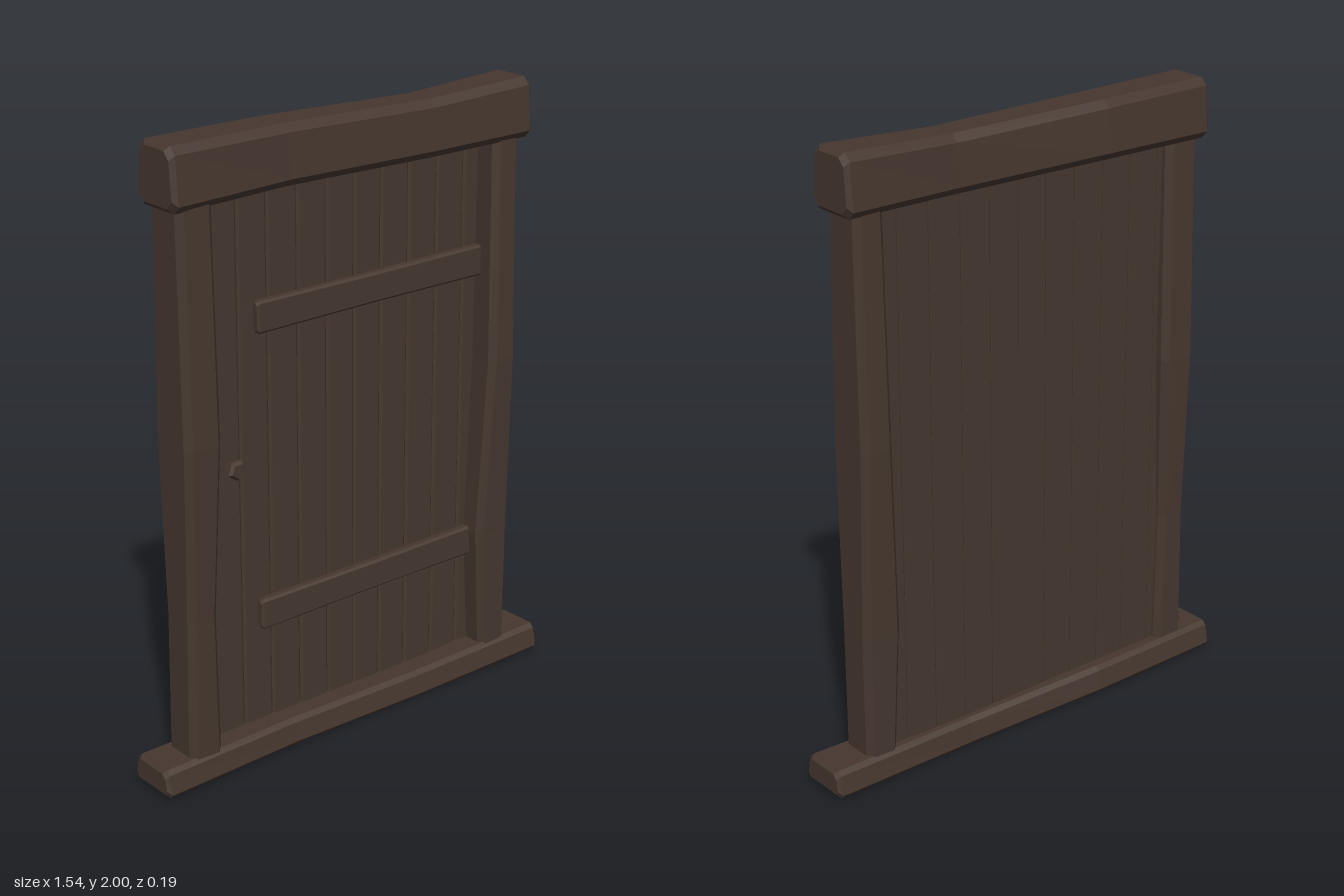
import * as THREE from 'three';

const wood = new THREE.MeshStandardMaterial({ color: 0x46372f, flatShading: true });
wood.name = 'dark wood';

// Rectangle as a counter-clockwise ring, bevelled by c0 at u0 and c1 at u1;
// the v side narrows by `taper` towards u1
function ring(u0, u1, v0, v1, c0, c1, taper) {
  const pts = [
    [u1, v0 + c1], [u1, v1 - c1], [u1 - c1, v1], [u0 + c0, v1],
    [u0, v1 - c0], [u0, v0 + c0], [u0 + c0, v0], [u1 - c1, v0],
  ];
  return pts.map(([u, v]) => [u, v * (1 - taper * (u - u0) / (u1 - u0))]);
}

// Hand-hewn timber lofted along x (u = y, v = z) or along y (u = z, v = x).
// Each station is [position along axis, u0, u1, v0, v1]; both ends are bevelled.
function timber(name, axis, stations, { bevel = 0.02, bevel0 = bevel, end = bevel, taper = 0 } = {}) {
  const list = stations.map((s) => [...s]);
  const shrink = ([w, a, b, c, d], e) => [w, a + e, b - e, c + e, d - e];
  const first = shrink(list[0], end);
  const last = shrink(list[list.length - 1], end);
  list[0][0] += end;
  list[list.length - 1][0] -= end;
  const rings = [first, ...list, last].map(([w, ...b]) =>
    ring(...b, bevel0, bevel, taper).map(([u, v]) => (axis === 'x' ? [w, u, v] : [v, w, u])));
  const n = rings[0].length;
  const pos = [];
  for (let i = 0; i < rings.length - 1; i++) {
    for (let j = 0; j < n; j++) {
      const k = (j + 1) % n;
      const a = rings[i][j], b = rings[i][k], c = rings[i + 1][k], d = rings[i + 1][j];
      pos.push(...a, ...b, ...c, ...a, ...c, ...d);
    }
  }
  const bottom = rings[0], top = rings[rings.length - 1];
  for (let j = 1; j < n - 1; j++) {
    pos.push(...bottom[0], ...bottom[j + 1], ...bottom[j]);
    pos.push(...top[0], ...top[j], ...top[j + 1]);
  }
  const geo = new THREE.BufferGeometry();
  geo.setAttribute('position', new THREE.Float32BufferAttribute(pos, 3));
  geo.computeVertexNormals();
  const mesh = new THREE.Mesh(geo, wood);
  mesh.name = name;
  return mesh;
}

export function createModel() {
  const model = new THREE.Group();
  model.name = 'woodenDoor';

  // Crooked beam over the door
  model.add(timber('lintel', 'x', [
    [-0.69, 1.81, 2.0, -0.09, 0.097],
    [-0.27, 1.815, 1.997, -0.099, 0.08],
    [0.28, 1.808, 1.985, -0.074, 0.087],
    [0.673, 1.812, 2.0, -0.09, 0.097],
  ], { bevel: 0.024, end: 0.014, taper: 0.16 }));

  // Sill under the door
  model.add(timber('threshold', 'x', [
    [-0.772, 0.01, 0.1, -0.09, 0.097],
    [-0.27, 0.007, 0.097, -0.096, 0.08],
    [0.25, 0.0, 0.09, -0.076, 0.086],
    [0.772, 0.01, 0.1, -0.09, 0.097],
  ], { bevel: 0.014, end: 0.012, taper: 0.18 }));

  // Uneven side posts
  model.add(timber('rightPost', 'y', [
    [0.06, -0.062, 0.07, -0.665, -0.545],
    [0.55, -0.062, 0.073, -0.66, -0.555],
    [1.1, -0.078, 0.088, -0.665, -0.535],
    [1.85, -0.066, 0.075, -0.665, -0.54],
  ]));
  model.add(timber('leftPost', 'y', [
    [0.06, -0.062, 0.07, 0.53, 0.642],
    [0.5, -0.062, 0.071, 0.507, 0.643],
    [1.1, -0.078, 0.088, 0.53, 0.64],
    [1.85, -0.066, 0.075, 0.535, 0.638],
  ]));

  // Vertical planks, flush at the back and bevelled at the front
  const edges = [-0.58, -0.52, -0.406, -0.297, -0.184, -0.073, 0.034, 0.14, 0.25, 0.365, 0.477, 0.56];
  for (let i = 0; i < edges.length - 1; i++) {
    const gap = 0.0015;
    model.add(timber('plank' + (i + 1), 'y', [
      [0.08, -0.035, -0.005, edges[i] + gap, edges[i + 1] - gap],
      [1.84, -0.035, -0.005, edges[i] + gap, edges[i + 1] - gap],
    ], { bevel: 0.007, bevel0: 0.001 }));
  }

  // Cross battens on the front
  for (const [name, y] of [['lowerBatten', 0.415], ['upperBatten', 1.375]]) {
    model.add(timber(name, 'x', [
      [-0.352, y, y + 0.1, -0.012, 0.02],
      [0.1, y + 0.003, y + 0.098, -0.012, 0.02],
      [0.55, y, y + 0.1, -0.012, 0.02],
    ], { bevel: 0.007 }));
  }

  // Five-sided door knob: narrow neck and faceted head
  const profile = [[0, 0], [0.018, 0], [0.018, 0.015], [0.033, 0.024], [0.033, 0.036], [0.024, 0.046], [0, 0.046]];
  const knob = new THREE.Mesh(
    new THREE.LatheGeometry(profile.map(([r, h]) => new THREE.Vector2(r, h)), 5), wood);
  knob.name = 'knob';
  knob.rotation.x = Math.PI / 2;
  knob.position.set(-0.447, 0.977, -0.007);
  model.add(knob);

  return model;
}
